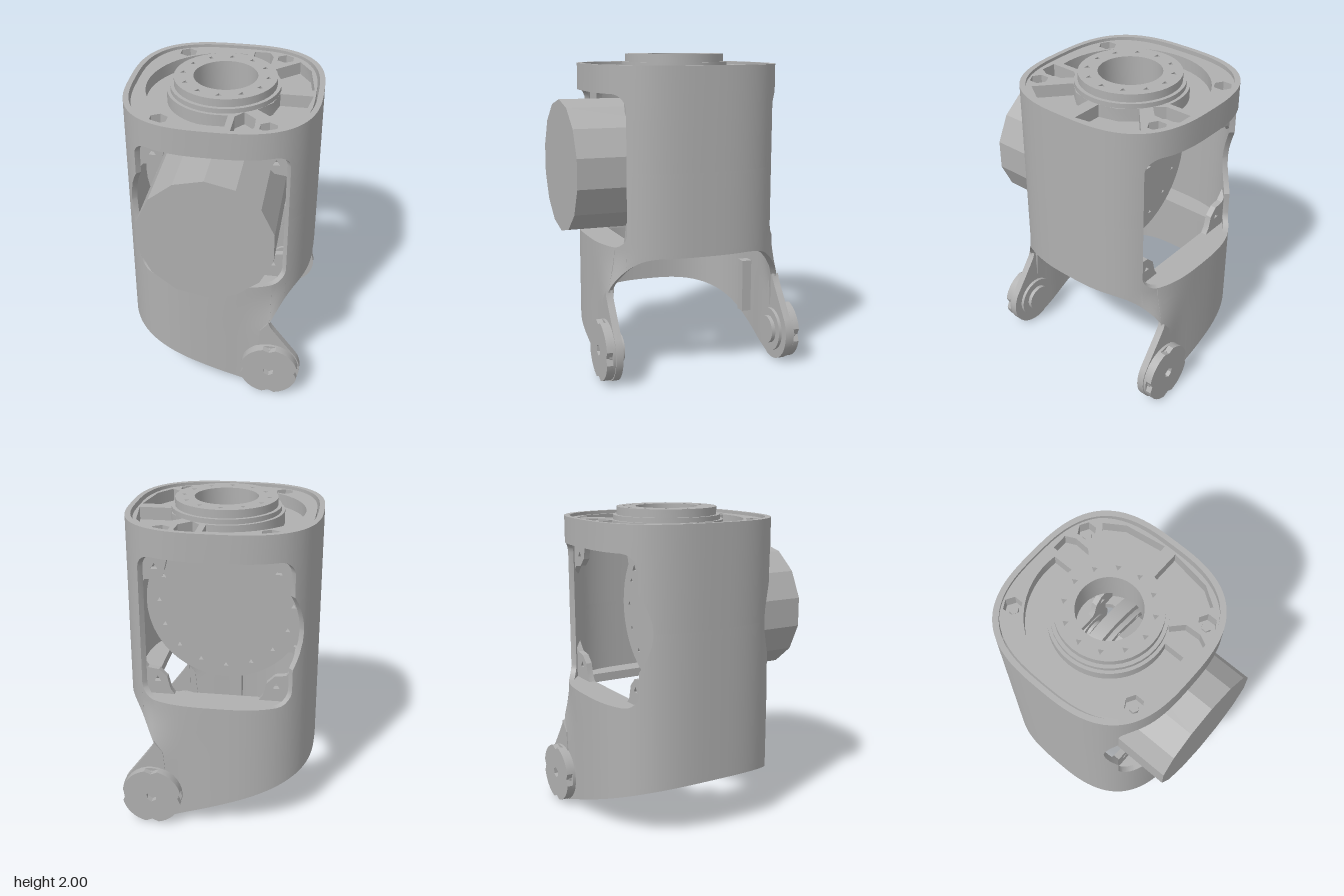
import * as THREE from 'three';
import { toCreasedNormals } from 'three/addons/utils/BufferGeometryUtils.js';

const HALF = 0.6, POWER = 2.85, TOP = 1.94, MID = 1.305;
const V2 = (x, y) => new THREE.Vector2(x, y);
const smooth = THREE.MathUtils.smoothstep;

// Rounded-square plan: depth at a given x
const planZ = (x, a = HALF, b = HALF) => b * Math.pow(Math.max(0, 1 - Math.pow(Math.abs(x) / a, POWER)), 1 / POWER);

function planShape(a, b) {
  const pts = [];
  for (let i = 0; i < 64; i++) {
    const t = (i / 64) * Math.PI * 2, c = Math.cos(t), s = Math.sin(t), e = 2 / POWER;
    pts.push(V2(a * Math.sign(c) * Math.abs(c) ** e, b * Math.sign(s) * Math.abs(s) ** e));
  }
  return new THREE.Shape(pts);
}

function polygon(cx, cy, r, n, start = Math.PI / 2) {
  return Array.from({ length: n }, (_, i) => {
    const a = start + (i / n) * Math.PI * 2;
    return V2(cx + r * Math.cos(a), cy + r * Math.sin(a));
  });
}
const hole = (shape, pts) => shape.holes.push(new THREE.Path(pts));
function boltHoles(shape, count, radius, size) {
  for (const p of polygon(0, 0, radius, count)) hole(shape, polygon(p.x, p.y, size, 3));
}

// Half height of the window opening at x
function windowHalf(x) {
  if (x > 0.46 || x < -0.525) return 0;
  if (x < -0.47) return Math.sqrt(0.525 ** 2 - x * x);
  const d = Math.min(x + 0.47, 0.46 - x), r = 0.09;
  const rect = d < r ? 0.465 - r + Math.sqrt(Math.max(0, r * r - (r - d) ** 2)) : 0.465;
  return rect;
}
// Lower edge of the housing: slanted skirt, then the arch above each lug
function lowerEdge(x) {
  if (x > 0.38) return 0.79 - 0.23 * Math.max(0, 1 - (x - 0.38) / 0.21) ** 2 * (x < 0.59 ? 1 : 0);
  return Math.max(0.012, 0.35 - (x + 0.6) * 0.365);
}

// Sweep a closed wall section round the plan
function wallBand(loOf, hiOf, rows) {
  const xs = [];
  for (let i = 0; i <= 56; i++) {
    const c = -Math.cos((i / 56) * Math.PI);
    xs.push(HALF * Math.sign(c) * Math.abs(c) ** (2 / POWER));
  }
  for (const b of [-0.525, -0.47, 0.38, 0.46]) xs.push(b - 1e-4, b + 1e-4);
  for (const b of [-0.465, -0.45, -0.42, -0.38, 0.37, 0.4, 0.42, 0.44, 0.455]) xs.push(b);
  xs.sort((p, q) => p - q);
  const path = [...xs.map(x => [x, 1]), ...xs.slice(1, -1).reverse().map(x => [x, -1])];
  const sections = path.map(([x, side]) => {
    const lo = loOf(x), hi = hiOf(x), outer = [], inner = [];
    for (let r = 0; r <= rows; r++) {
      const y = lo + (hi - lo) * r / rows;
      const flat = smooth(x, 0, 0.3) * (1 - smooth(x, 0.38, 0.52)) * (1 - smooth(y, 0.45, 0.82));
      const z = planZ(x) + (0.59 - planZ(x)) * flat;
      outer.push([x, y, side * z]);
      inner.unshift([x * 0.945, y, side * z * 0.945]);
    }
    return [...outer, ...inner];
  });
  const pos = [], n = sections[0].length;
  sections.forEach((a, i) => {
    const b = sections[(i + 1) % sections.length];
    for (let k = 0; k < n; k++) {
      const m = (k + 1) % n;
      pos.push(...a[k], ...b[k], ...b[m], ...a[k], ...b[m], ...a[m]);
    }
  });
  const g = new THREE.BufferGeometry();
  g.setAttribute('position', new THREE.Float32BufferAttribute(pos, 3));
  return toCreasedNormals(g, 0.5);
}

export function createModel() {
  const model = new THREE.Group();
  model.name = 'jointHousing';
  const grey = new THREE.MeshStandardMaterial({ color: 0xb0b0b0 });
  grey.name = 'grey';
  const body = new THREE.Group();
  body.name = 'body';
  body.position.z = -0.06;
  model.add(body);

  function add(name, geometry) {
    const m = new THREE.Mesh(geometry, grey);
    m.name = name;
    body.add(m);
    return m;
  }
  const extrude = (shape, depth) =>
    toCreasedNormals(new THREE.ExtrudeGeometry(shape, { depth, bevelEnabled: false, curveSegments: 24 }), 0.5);
  const slab = (name, shape, y0, y1) => add(name, extrude(shape, y1 - y0).rotateX(-Math.PI / 2).translate(0, y0, 0));
  const plate = (name, shape, z0, z1, side = 1) =>
    add(name, extrude(shape, z1 - z0).translate(0, 0, side > 0 ? z0 : -z1));
  const disc = (name, r, x, y, z0, z1, side = 1, sides = 32, rOut = r) =>
    add(name, new THREE.CylinderGeometry(rOut, r, z1 - z0, sides).rotateX(side * Math.PI / 2)
      .translate(x, y, side * (z0 + z1) / 2));

  // Housing wall, below and above the windows
  add('lowerHousing', wallBand(lowerEdge, x => MID - windowHalf(x), 14));
  add('upperHousing', wallBand(x => MID + windowHalf(x), () => TOP, 2));

  // Top plate with C-shaped groove, pockets and bolt recesses
  const cover = planShape(0.553, 0.58);
  hole(cover, polygon(0, 0, 0.33, 40));
  const groove = [];
  const a0 = Math.acos(0.07 / 0.49), a1 = Math.acos(0.07 / 0.36);
  for (let i = 0; i <= 32; i++) {
    const a = a0 + (Math.PI * 2 - 2 * a0) * i / 32;
    groove.push(V2(0.49 * Math.cos(a), 0.49 * Math.sin(a)));
  }
  for (let i = 32; i >= 0; i--) {
    const a = a1 + (Math.PI * 2 - 2 * a1) * i / 32;
    groove.push(V2(0.36 * Math.cos(a), 0.36 * Math.sin(a)));
  }
  hole(cover, groove);
  for (const s of [1, -1]) {
    hole(cover, [[0.23, 0.255], [0.42, 0.42], [0.5, 0.3], [0.54, 0.04], [0.34, 0.04], [0.31, 0.16]].map(([x, y]) => V2(x, s * y)));
    hole(cover, [[0.11, 0.36], [0.11, 0.53], [0.21, 0.53], [0.24, 0.47], [0.235, 0.37], [0.16, 0.3]].map(([x, y]) => V2(x, s * y)));
    for (const t of [1, -1]) {
      hole(cover, polygon(t * 0.32, s * 0.455, 0.058, 6));
      add('coverBolt', new THREE.CylinderGeometry(0.03, 0.03, 0.03, 6).translate(t * 0.32, 1.855, s * 0.455));
    }
  }
  slab('coverPlate', cover, 1.84, 1.92);
  const coverFloor = planShape(0.553, 0.58);
  hole(coverFloor, polygon(0, 0, 0.305, 40));
  slab('coverFloor', coverFloor, 1.79, 1.84);

  // Raised mounting ring
  const collar = new THREE.Shape(polygon(0, 0, 0.34, 40));
  hole(collar, polygon(0, 0, 0.305, 40));
  slab('ringCollar', collar, 1.8, 1.95);
  const ring = new THREE.Shape(polygon(0, 0, 0.317, 40));
  hole(ring, polygon(0, 0, 0.197, 40));
  boltHoles(ring, 12, 0.262, 0.02);
  slab('mountingRing', ring, 1.79, 2.0);

  // Shelf under the windows
  const shelf = planShape(0.57, 0.57);
  hole(shelf, [V2(-0.4, -0.4), V2(0.4, -0.4), V2(0.43, -0.36), V2(0.43, 0.36),
    V2(0.4, 0.4), V2(-0.4, 0.4), V2(-0.43, 0.36), V2(-0.43, -0.36)]);
  slab('windowShelf', shelf, 0.78, 0.838);

  // Motor and its bolted flange
  const flange = new THREE.Shape(polygon(0, 0, 0.52, 48));
  boltHoles(flange, 16, 0.435, 0.018);
  plate('motorFlange', flange, -0.04, 0.04).position.y = MID;
  const step = new THREE.Shape(polygon(0, 0, 0.465, 16));
  boltHoles(step, 16, 0.435, 0.018);
  plate('motorStep', step, 0.04, 0.07).position.y = MID;
  const motor = add('motor', new THREE.CylinderGeometry(0.418, 0.418, 0.73, 14).toNonIndexed());
  motor.geometry.computeVertexNormals();
  motor.geometry.rotateX(Math.PI / 2).translate(0, MID, 0.405);

  // Notched outline of the lug caps
  const cap = [];
  for (let q = 0; q < 4; q++) {
    const mid = q * Math.PI / 2;
    for (let i = 0; i <= 8; i++) {
      const a = mid + Math.PI * (1.5 - i / 8) - Math.PI / 2;
      const out = Math.PI + (i - 4) / 8 * Math.PI;
      const lx = 0.15 + 0.04 * Math.cos(-out), ly = 0.04 * Math.sin(-out) * -1;
      void a;
      const sy = -ly;
      cap.push(V2(lx * Math.cos(mid) + sy * Math.sin(mid), lx * Math.sin(mid) - sy * Math.cos(mid)));
    }
    for (let i = 0; i <= 8; i++) {
      const a = mid + 0.22 + (Math.PI / 2 - 0.44) * i / 8;
      cap.push(V2(0.19 * Math.cos(a), 0.19 * Math.sin(a)));
    }
  }
  const capShape = new THREE.Shape(cap);
  hole(capShape, polygon(0, 0, 0.035, 6));

  // Flat leg outline ending in the round lug
  const LX = 0.39, LY = 0.2;
  const leg = [V2(0.32, 0.5), V2(0.28, 0.045)];
  for (let i = 0; i <= 20; i++) {
    const a = -1.92 + (i / 20) * 2.5;
    leg.push(V2(LX + 0.197 * Math.cos(a), LY + 0.197 * Math.sin(a)));
  }
  leg.push(V2(0.42, 0.49), V2(0.385, 0.54), V2(0.375, 0.57));

  for (const side of [1, -1]) {
    const end = side > 0 ? 'front' : 'back';
    plate(end + 'Leg', new THREE.Shape(leg), 0.55, 0.595, side);
    disc(end + 'LugBase', 0.19, LX, LY, 0.59, 0.612, side);
    const c = plate(end + 'LugCap', capShape, 0.612, 0.65, side);
    c.position.set(LX, LY, 0);
    for (const p of polygon(LX, LY, 0.15, 4)) disc(end + 'LugBolt', 0.024, p.x, p.y, 0.612, 0.63, side, 6);
    disc(end + 'LugHub', 0.14, LX, LY, 0.53, 0.55, side);
    disc(end + 'LugBoss', 0.09, LX, LY, 0.505, 0.53, side);
    // Stiffening bar inside the skirt
    add(end + 'Bar', new THREE.BoxGeometry(0.07, 0.36, 0.07).translate(0, 0.4, side * 0.535));
    // Bolt ears in the window corners
    for (const sx of [1, -1]) for (const sy of [1, -1]) {
      const ear = new THREE.Shape([[0.25, 0.49], [0.29, 0.43], [0.31, 0.35], [0.36, 0.3], [0.43, 0.29], [0.48, 0.23], [0.48, 0.49]]
        .map(([x, y]) => V2(sx * x, MID + sy * y)));
      hole(ear, polygon(sx * 0.37, MID + sy * 0.37, 0.025, 3));
      plate(end + 'WindowEar', ear, 0.4, 0.44, side);
    }
  }
  return model;
}
